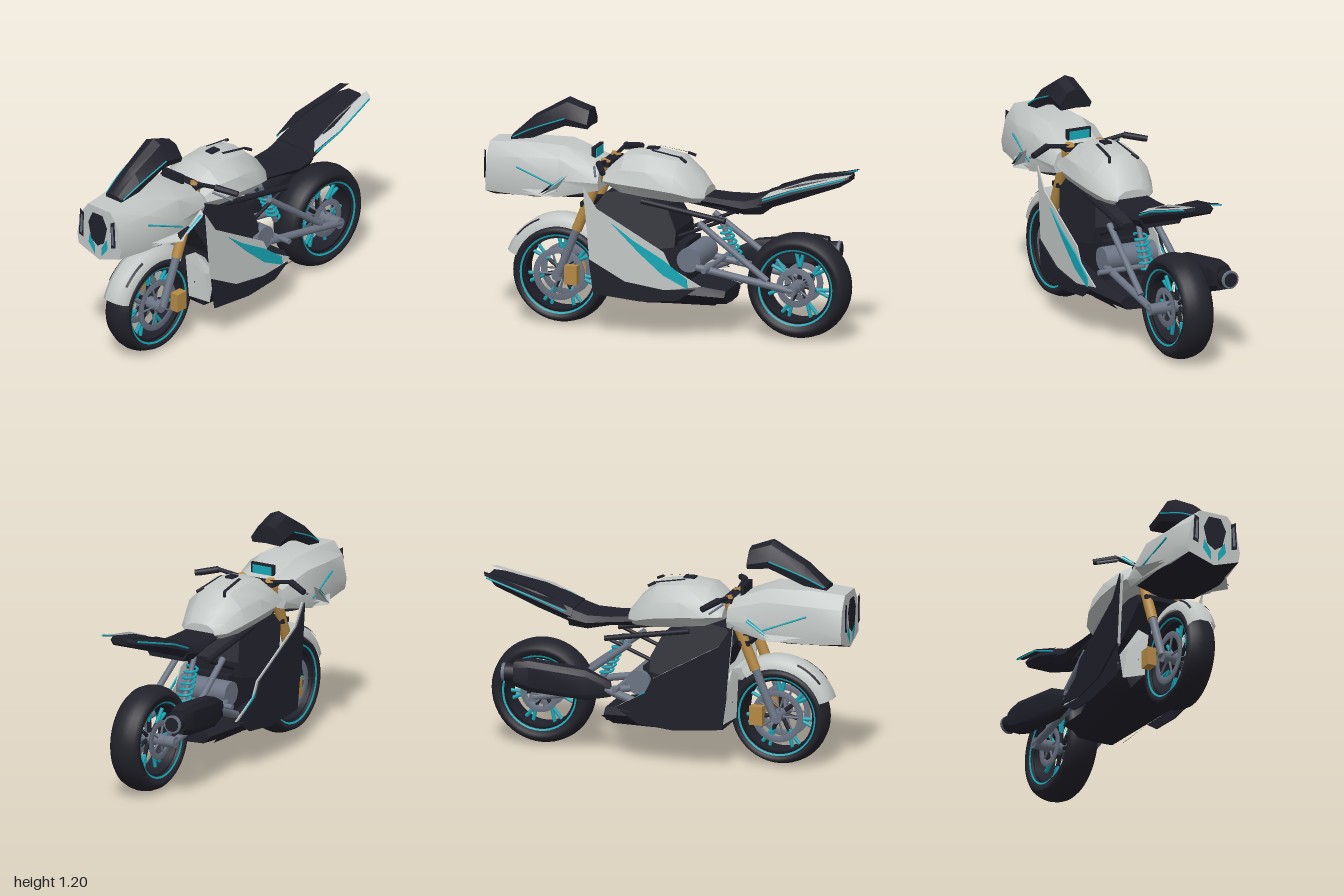
import * as THREE from 'three';
import { toCreasedNormals } from 'three/addons/utils/BufferGeometryUtils.js';
import { ConvexGeometry } from 'three/addons/geometries/ConvexGeometry.js';

const paint = (name, color) => new THREE.MeshStandardMaterial({ name, color, side: THREE.DoubleSide });
const V = (p) => new THREE.Vector3(...p);
const SIDES = [1, -1];

export function createModel() {
  const model = new THREE.Group();
  model.name = 'motorcycle';
  const light = paint('light grey paint', 0xc2c7c6), dark = paint('dark trim', 0x20202b),
    tyre = paint('tyre rubber', 0x22222b), cyan = paint('cyan accent', 0x17a8b8),
    gold = paint('gold metal', 0xb58a45), steel = paint('steel', 0x6c7484);

  const add = (name, geo, mat, parent = model) => {
    const m = new THREE.Mesh(geo, mat);
    m.name = name;
    parent.add(m);
    return m;
  };
  const box = (name, size, pos, mat) => add(name, new THREE.BoxGeometry(...size), mat).position.set(...pos);
  const rod = (name, a, b, r, mat, r2 = r, seg = 12, parent = model) => {
    const A = V(a), B = V(b), d = B.clone().sub(A);
    const m = add(name, new THREE.CylinderGeometry(r2, r, d.length(), seg), mat, parent);
    m.position.copy(A).add(B).multiplyScalar(0.5);
    m.quaternion.setFromUnitVectors(new THREE.Vector3(0, 1, 0), d.normalize());
    return m;
  };
  const build = (pos, idx) => {
    const g = new THREE.BufferGeometry();
    g.setAttribute('position', new THREE.Float32BufferAttribute(pos, 3));
    g.setIndex(idx);
    return toCreasedNormals(g, 0.55);
  };
  // Mirrored body through half sections [z, [x, y]...], each from top centre to bottom centre, front to back
  const loft = (sections) => {
    const pos = [], idx = [];
    let n = 0;
    for (const [z, ...half] of sections) {
      const ring = [...half.map(([x, y]) => [-x, y]), ...half.slice(1, -1).reverse()];
      n = ring.length;
      for (const [x, y] of ring) pos.push(x, y, z);
    }
    const last = (sections.length - 1) * n;
    for (let i = 0; i < sections.length - 1; i++) for (let j = 0; j < n; j++) {
      const a = i * n + j, b = i * n + (j + 1) % n;
      idx.push(a, a + n, b, b, a + n, b + n);
    }
    for (let j = 1; j < n - 1; j++) idx.push(0, j, j + 1, last, last + j + 1, last + j);
    return build(pos, idx);
  };
  // Flat polygon in space
  const facet = (pts) => build(pts.flat(), pts.slice(2).flatMap((_, i) => [0, i + 1, i + 2]));
  // Thin upright plate from a [z, y] outline
  const plate = (name, pts, x, t, mat) => {
    const g = new THREE.ExtrudeGeometry(new THREE.Shape(pts.map((p) => new THREE.Vector2(...p))), { depth: t, bevelEnabled: false });
    g.rotateY(-Math.PI / 2).translate(x + t / 2, 0, 0);
    return add(name, g, mat);
  };
  // Lathe about the x axis; angle 0 is forward, 90 degrees is up
  const turn = (pts, from = 0, sweep = 360, seg = 48) => new THREE.LatheGeometry(
    pts.map((p) => new THREE.Vector2(...p)), seg, from * Math.PI / 180, sweep * Math.PI / 180).rotateZ(Math.PI / 2);

  // Wheels
  const wheel = (name, y, z, R, hw, rim, disc, discSides) => {
    const g = new THREE.Group();
    g.name = name;
    g.position.set(0, y, z);
    model.add(g);
    const mid = (R + rim) / 2;
    add('tyre', turn([[rim, -hw * 0.75], [mid - 0.012, -hw * 0.97], [mid + 0.005, -hw], [R - 0.018, -hw * 0.78], [R - 0.005, -hw * 0.42], [R, 0],
      [R - 0.005, hw * 0.42], [R - 0.018, hw * 0.78], [mid + 0.005, hw], [mid - 0.012, hw * 0.97], [rim, hw * 0.75], [rim, -hw * 0.75]]), tyre, g);
    add('rim', turn([[rim - 0.015, -hw * 0.7], [rim + 0.002, -hw * 0.7], [rim + 0.002, hw * 0.7], [rim - 0.015, hw * 0.7], [rim - 0.015, -hw * 0.7]]), dark, g);
    for (const s of SIDES) {
      const x = s * hw * 0.9;
      add('rimStripe', turn([[rim - 0.001, x], [rim + 0.009, x + s * 0.004]]), cyan, g);
    }
    rod('hub', [-hw - 0.02, 0, 0], [hw + 0.02, 0, 0], 0.032, steel, 0.032, 20, g);
    for (let i = 0; i < 7; i++) {
      const a = i / 7 * Math.PI * 2 + Math.PI / 2;
      const at = (r, da) => [0, r * Math.sin(a + da), r * Math.cos(a + da)];
      rod('spokeRoot', at(0.02, 0), at(rim * 0.5, 0), 0.012, dark, 0.011, 6, g);
      for (const s of SIDES) rod('spokeFork', at(rim * 0.46, 0), at(rim - 0.008, s * 0.12), 0.011, cyan, 0.01, 6, g);
    }
    for (const s of discSides) {
      const x = s * (hw * 0.8);
      add('brakeDisc', turn([[disc - 0.032, x - 0.004], [disc, x - 0.004], [disc, x + 0.004], [disc - 0.032, x + 0.004], [disc - 0.032, x - 0.004]]), steel, g);
      for (let i = 0; i < 5; i++) {
        const a = i / 5 * Math.PI * 2;
        rod('discArm', [-x, 0, 0], [-x, Math.sin(a) * (disc - 0.025), Math.cos(a) * (disc - 0.025)], 0.006, steel, 0.006, 6, g);
      }
    }
  };
  wheel('frontWheel', 0.268, 0.605, 0.266, 0.08, 0.203, 0.14, SIDES);
  wheel('rearWheel', 0.287, -0.69, 0.28, 0.086, 0.195, 0.105, SIDES);

  // Front mudguard
  const guard = add('frontMudguard', turn([[0.25, -0.076], [0.288, -0.068], [0.312, -0.035], [0.312, 0.035], [0.288, 0.068], [0.25, 0.076]], 19, 111, 14), light);
  guard.position.set(0, 0.272, 0.6);
  for (const s of SIDES)
    add('mudguardStrip', turn([[0.297, s * 0.066], [0.305, s * 0.056]], 38, 30, 8), dark).position.copy(guard.position);

  // Forks, calipers and steering
  for (const s of SIDES) {
    rod('lowerFork', [s * 0.1, 0.27, 0.6], [s * 0.1, 0.54, 0.49], 0.022, steel);
    rod('upperFork', [s * 0.1, 0.52, 0.497], [s * 0.1, 0.87, 0.353], 0.028, gold);
    rod('forkCap', [s * 0.09, 0.86, 0.355], [s * 0.09, 0.9, 0.34], 0.026, gold);
    box('caliper', [0.048, 0.1, 0.07], [s * 0.132, 0.285, 0.515], gold);
    rod('handlebar', [s * 0.06, 0.885, 0.345], [s * 0.23, 0.912, 0.335], 0.011, dark);
    rod('grip', [s * 0.225, 0.91, 0.335], [s * 0.335, 0.888, 0.28], 0.018, dark, 0.016);
    rod('brakeLever', [s * 0.23, 0.892, 0.36], [s * 0.335, 0.868, 0.32], 0.006, steel);
  }
  box('upperYoke', [0.25, 0.022, 0.06], [0, 0.88, 0.345], dark);
  box('lowerYoke', [0.25, 0.026, 0.06], [0, 0.662, 0.44], dark);
  box('instrumentHousing', [0.14, 0.065, 0.02], [0, 0.925, 0.415], dark);
  box('instrumentScreen', [0.115, 0.045, 0.004], [0, 0.925, 0.403], cyan);

  // Nose fairing
  add('noseFairing', loft([
    [0.98, [0, 0.955], [0.08, 0.955], [0.13, 0.885], [0.155, 0.76], [0.145, 0.705], [0, 0.7]],
    [0.8, [0, 0.968], [0.09, 0.968], [0.165, 0.9], [0.188, 0.79], [0.175, 0.7], [0, 0.7]],
    [0.57, [0, 0.965], [0.1, 0.965], [0.178, 0.91], [0.21, 0.8], [0.2, 0.71], [0, 0.71]],
    [0.36, [0, 0.885], [0.09, 0.885], [0.15, 0.85], [0.175, 0.79], [0.16, 0.75], [0, 0.75]]]), light);
  add('noseUnderside', loft([
    [0.979, [0, 0.71], [0.146, 0.705], [0, 0.657]], [0.7, [0, 0.71], [0.185, 0.7], [0, 0.66]],
    [0.45, [0, 0.74], [0.17, 0.72], [0, 0.675]]]), dark);
  add('noseFacePlate', facet([[0, 0.657, 0.982], [0.145, 0.705, 0.982], [0, 0.76, 0.982], [-0.145, 0.705, 0.982]]), light);
  add('headlightPanel', facet([[-0.035, 0.925], [-0.066, 0.86], [-0.045, 0.77], [0, 0.74], [0.045, 0.77], [0.066, 0.86], [0.035, 0.925]]
    .map(([x, y]) => [x, y, 0.992])), dark);
  for (const s of SIDES) {
    const flip = (pts) => pts.map(([x, y, z]) => [s * x, y, z]);
    const face = (name, pts, z, mat) => add(name, facet(pts.map(([x, y]) => [s * x, y, z])), mat);
    face('lampSlot', [[0.095, 0.905], [0.122, 0.92], [0.13, 0.77], [0.097, 0.76]], 0.995, dark);
    face('lampLens', [[0.101, 0.885], [0.112, 0.895], [0.12, 0.785], [0.104, 0.78]], 0.998, steel);
    face('noseSpike', [[0.06, 0.795], [0.068, 0.74], [0.022, 0.682], [0.022, 0.73]], 0.988, cyan);
    rod('noseSideLine', [s * 0.182, 0.85, 0.8], [s * 0.21, 0.765, 0.57], 0.005, cyan, 0.005, 6);
    // Winglets: a flat shelf, an upright blade and its stripes
    add('wingletShelf', facet(flip([[0.18, 0.735, 0.78], [0.272, 0.728, 0.63], [0.24, 0.755, 0.56], [0.2, 0.74, 0.57]])), light);
    add('wingletUnderside', facet(flip([[0.18, 0.72, 0.78], [0.272, 0.724, 0.63], [0.2, 0.716, 0.57]])), light);
    add('wingletBlade', facet(flip([[0.265, 0.728, 0.64], [0.295, 0.84, 0.5], [0.265, 0.855, 0.49], [0.235, 0.765, 0.56]])), light);
    for (const d of SIDES) add('wingletStripe', facet(flip([[0.272, 0.756, 0.605], [0.294, 0.834, 0.507], [0.28, 0.836, 0.509], [0.269, 0.768, 0.594]]
      .map(([x, y, z]) => [x, y + d * 0.005, z + d * 0.004]))), cyan);
    // Windscreen edge lines
    add('windscreenLine', new THREE.TubeGeometry(new THREE.CatmullRomCurve3(
      flip([[0.06, 0.98, 0.86], [0.077, 1.035, 0.75], [0.093, 1.105, 0.565]]).map(V)), 8, 0.004, 6), cyan);
  }
  add('wingletInset', facet([[0.215, 0.745, 0.62], [0.27, 0.738, 0.648], [0.275, 0.79, 0.585], [0.255, 0.788, 0.575]]), dark);
  add('windscreen', loft([
    [0.87, [0, 0.99], [0.03, 0.988], [0.055, 0.978], [0.055, 0.965], [0, 0.965]],
    [0.75, [0, 1.1], [0.04, 1.085], [0.076, 1.035], [0.068, 0.985], [0, 1.0]],
    [0.565, [0, 1.205], [0.05, 1.185], [0.092, 1.105], [0.08, 1.065], [0, 1.08]],
    [0.445, [0, 1.16], [0.05, 1.145], [0.094, 1.08], [0.085, 1.055], [0, 1.06]]]), dark);

  // Fuel tank
  add('tank', loft([
    [0.335, [0, 0.86], [0.08, 0.858], [0.15, 0.83], [0.17, 0.805], [0.13, 0.785], [0, 0.785]],
    [0.24, [0, 0.943], [0.09, 0.932], [0.17, 0.87], [0.195, 0.8], [0.16, 0.75], [0, 0.75]],
    [0.1, [0, 0.963], [0.1, 0.945], [0.18, 0.87], [0.2, 0.79], [0.15, 0.73], [0, 0.73]],
    [-0.05, [0, 0.938], [0.09, 0.922], [0.16, 0.85], [0.185, 0.77], [0.14, 0.715], [0, 0.715]],
    [-0.15, [0, 0.85], [0.07, 0.84], [0.12, 0.79], [0.142, 0.74], [0.11, 0.71], [0, 0.71]],
    [-0.2, [0, 0.785], [0.05, 0.78], [0.085, 0.76], [0.095, 0.735], [0.08, 0.712], [0, 0.712]]]), light);
  for (const s of SIDES) {
    add('tankStrip', facet([[0.05, 0.965, 0.1], [0.066, 0.961, 0.1], [0.078, 0.934, -0.07], [0.06, 0.937, -0.07]]
      .map(([x, y, z]) => [s * x, y, z])), dark);
    rod('tankStripEnd', [s * 0.066, 0.935, -0.06], [s * 0.085, 0.918, -0.095], 0.008, dark, 0.008, 6);
  }
  box('fillerCap', [0.045, 0.01, 0.06], [0, 0.963, 0.11], dark);

  // Seat and tail
  const seatBlock = (z, top, bottom, w) => [z, [0, top], [w * 0.8, top], [w, (top + bottom) / 2], [w * 0.8, bottom], [0, bottom]];
  add('seat', loft([seatBlock(-0.17, 0.745, 0.7, 0.1), seatBlock(-0.3, 0.735, 0.69, 0.115),
    seatBlock(-0.42, 0.735, 0.665, 0.128), seatBlock(-0.52, 0.765, 0.675, 0.13)]), dark);
  add('tail', loft([seatBlock(-0.5, 0.765, 0.69, 0.13), seatBlock(-0.7, 0.84, 0.76, 0.125), seatBlock(-0.93, 0.89, 0.84, 0.085), seatBlock(-0.975, 0.9, 0.865, 0.05)]), dark);
  for (const s of SIDES) {
    const m = (pts) => pts.map(([x, y, z]) => [s * x, y, z]);
    add('tailPanel', facet(m([[0.1, 0.795, -0.56], [0.135, 0.762, -0.52], [0.155, 0.826, -0.69], [0.11, 0.903, -0.98], [0.06, 0.912, -1], [0.085, 0.864, -0.75]])), s > 0 ? light : dark);
    const [a, b, c] = m([[0.138, 0.755, -0.53], [0.155, 0.818, -0.69], [0.11, 0.893, -0.97]]);
    rod('tailLine', a, b, 0.005, cyan, 0.005, 6);
    rod('tailLine', b, c, 0.005, cyan, 0.005, 6);
  }

  // Engine and belly
  const coverOutline = [[0.39, 0.66], [0.34, 0.73], [0.22, 0.75], [0, 0.68], [-0.06, 0.56], [-0.06, 0.48], [0.1, 0.45], [0.3, 0.48]];
  add('engineCover', new ConvexGeometry(coverOutline.flatMap(([z, y]) => SIDES.map((s) => V([s * (0.17 - (y - 0.48) * 0.26), y, z])))), dark);
  box('engineBlock', [0.24, 0.25, 0.38], [0, 0.37, 0.08], dark);
  rod('clutchCover', [-0.15, 0.41, -0.13], [0.15, 0.41, -0.13], 0.065, steel, 0.065, 20);
  add('bellyPan', loft([
    [0.38, [0, 0.4], [0.08, 0.4], [0.12, 0.34], [0.1, 0.24], [0, 0.24]],
    [0.33, [0, 0.4], [0.14, 0.4], [0.19, 0.3], [0.14, 0.19], [0, 0.19]],
    [0.1, [0, 0.32], [0.19, 0.32], [0.235, 0.25], [0.13, 0.165], [0, 0.16]],
    [-0.32, [0, 0.25], [0.11, 0.25], [0.14, 0.22], [0.1, 0.18], [0, 0.175]]]), dark);
  for (const s of SIDES) {
    const m = (pts) => pts.map(([x, y, z]) => [s * x, y, z]);
    add('frontCowl', new ConvexGeometry(m([[0.07, 0.48, 0.395], [0.09, 0.25, 0.39], [0.12, 0.51, 0.375], [0.175, 0.4, 0.36],
      [0.195, 0.23, 0.345], [0.19, 0.38, 0.3], [0.12, 0.45, 0.3]]).map(V)), light);
    add('bellyFin', facet(m([[0.13, 0.17, 0], [0.185, 0.225, -0.12], [0.19, 0.23, -0.32], [0.13, 0.175, -0.27]])), dark);
  }

  // Side panels standing clear of the body
  const panel = [[0.42, 0.785], [0.345, 0.67], [-0.02, 0.465], [-0.06, 0.385], [-0.225, 0.295], [-0.02, 0.262], [0.19, 0.285], [0.385, 0.4], [0.395, 0.52]];
  const lower = [[0.385, 0.4], [0.19, 0.295], [-0.02, 0.265], [-0.2, 0.28], [-0.1, 0.215], [0.1, 0.195], [0.36, 0.22]];
  const slash = [[0.26, 0.6], [0.14, 0.515], [-0.02, 0.425], [-0.15, 0.33], [-0.155, 0.28], [-0.02, 0.345], [0.11, 0.455]];
  plate('leftSidePanel', panel, 0.235, 0.007, light);
  plate('leftSideSlash', slash, 0.246, 0.007, cyan);
  plate('rightSidePanel', panel, -0.235, 0.007, light);
  plate('rightSideSlash', slash, -0.243, 0.006, cyan);
  plate('rightOuterPanel', panel, -0.252, 0.008, dark);
  for (const s of SIDES) {
    plate('lowerSidePanel', lower, s * 0.244, 0.007, dark);
    rod('panelMount', [s * 0.1, 0.375, 0.2], [s * 0.235, 0.375, 0.2], 0.012, steel);
  }

  // Frame, swingarm and shock
  rod('pivotShaft', [-0.225, 0.375, -0.235], [0.225, 0.375, -0.235], 0.014, steel);
  for (const s of SIDES) {
    rod('upperRail', [s * 0.11, 0.7, 0.14], [s * 0.12, 0.625, -0.32], 0.015, dark);
    rod('railBrace', [s * 0.12, 0.625, -0.3], [s * 0.12, 0.53, -0.07], 0.01, dark);
    rod('swingarm', [s * 0.14, 0.375, -0.17], [s * 0.15, 0.285, -0.7], 0.02, steel);
    rod('swingarmBrace', [s * 0.13, 0.61, -0.18], [s * 0.145, 0.33, -0.56], 0.017, steel);
  }
  rod('rearAxle', [-0.165, 0.287, -0.69], [0.165, 0.287, -0.69], 0.03, steel, 0.03, 16);
  rod('shock', [0, 0.62, -0.25], [0, 0.37, -0.37], 0.014, steel);
  const coil = Array.from({ length: 61 }, (_, i) => {
    const t = i / 60, a = t * Math.PI * 12;
    return new THREE.Vector3(Math.cos(a) * 0.034, 0.57 - 0.17 * t, -0.275 - 0.08 * t + Math.sin(a) * 0.03);
  });
  add('shockSpring', new THREE.TubeGeometry(new THREE.CatmullRomCurve3(coil), 120, 0.007, 6), cyan);

  // Exhaust
  rod('exhaustPipe', [-0.13, 0.25, 0.0], [-0.18, 0.37, -0.3], 0.022, steel);
  const can = (z, bottom, top, w) => [z, [0, top], [w * 0.6, top], [w, top - 0.03], [w, bottom + 0.03], [w * 0.6, bottom], [0, bottom]];
  const muffler = add('muffler', loft([can(-0.27, 0.33, 0.41, 0.014), can(-0.4, 0.31, 0.47, 0.045),
    can(-0.7, 0.34, 0.505, 0.054), can(-0.78, 0.365, 0.495, 0.046)]), dark);
  muffler.position.x = -0.15;
  muffler.rotation.y = 0.1;
  rod('exhaustTip', [-0.228, 0.43, -0.76], [-0.235, 0.432, -0.825], 0.045, dark, 0.047, 16);
  rod('exhaustRing', [-0.235, 0.432, -0.825], [-0.236, 0.432, -0.84], 0.048, steel, 0.048, 16);
  rod('exhaustOutlet', [-0.235, 0.432, -0.83], [-0.236, 0.432, -0.843], 0.038, dark, 0.038, 16);
  return model;
}
